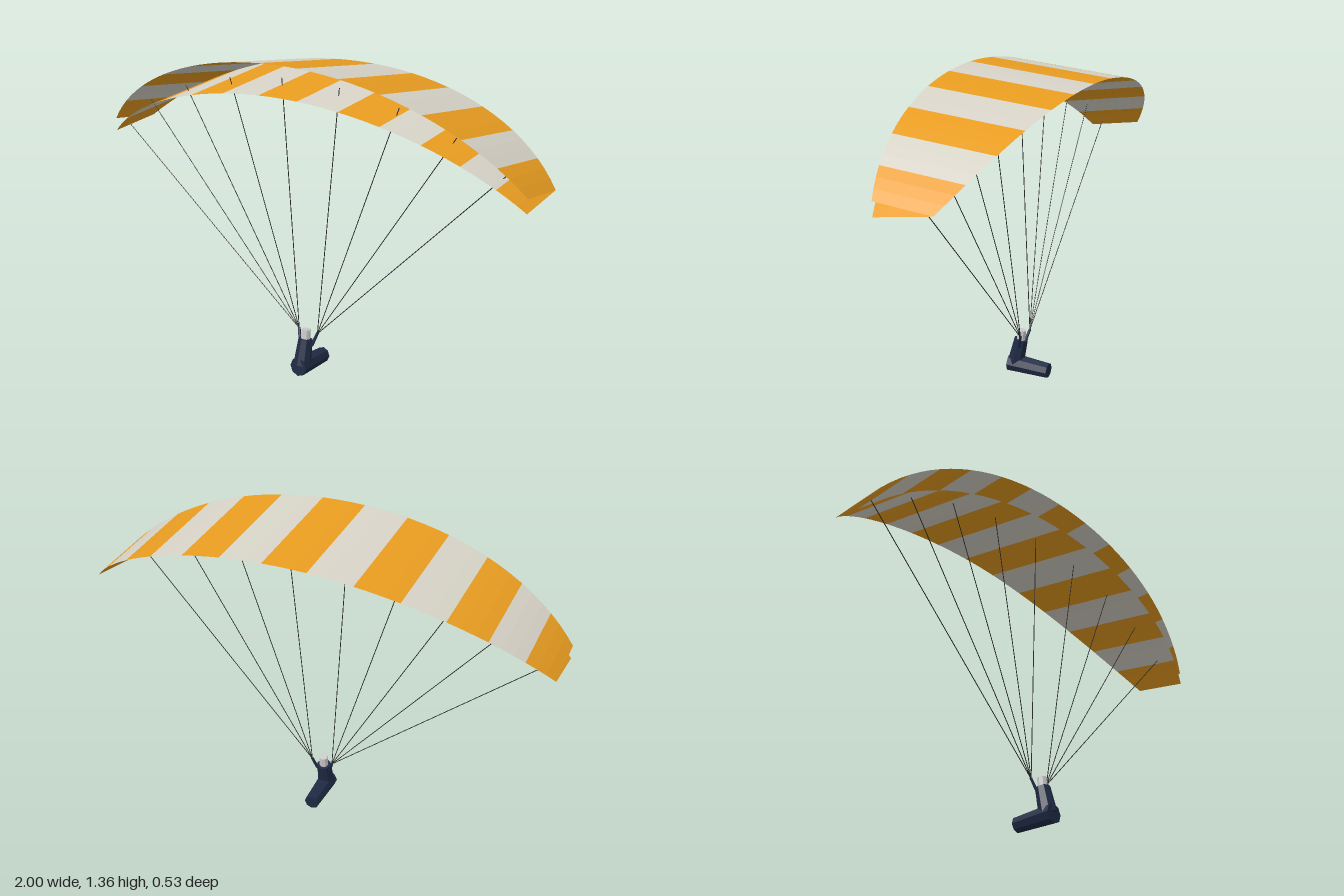
import * as THREE from 'three';

const STRIPES = 13, SEGS = 3, SWEEP = 1.05;

const mat = (color, side = THREE.FrontSide) =>
  new THREE.MeshStandardMaterial({ color, flatShading: true, side });
const orange = mat(0xe89c20, THREE.DoubleSide);
const cream = mat(0xd6d2c6, THREE.DoubleSide);
const navy = mat(0x1f2a44);
const grey = mat(0xcccccc);
const dark = mat(0x2b2b2b);

// Point on the wing: t = -1..1 across the span, c = 0 (trailing) .. 1 (leading),
// h = 1 for the upper skin, -1 for the lower skin
function wingPoint(t, c, h) {
  const a = t * SWEEP;
  const taper = Math.pow(Math.abs(t), 2.3);
  const back = -0.267 + 0.195 * taper;
  const front = 0.267 - 0.105 * taper;
  const halfThickness = 0.0625 * (front - back) / 0.534;
  return new THREE.Vector3(
    Math.sin(a) / Math.sin(SWEEP),
    1.297 - 0.33 * (1 - Math.cos(a)) / (1 - Math.cos(SWEEP)) + h * c * halfThickness,
    back + (front - back) * c
  );
}

// One stripe of one skin, leading edge to trailing edge
function panel(i, h) {
  const pos = [], index = [];
  for (let s = 0; s <= SEGS; s++) {
    const t = -1 + 2 * (i + s / SEGS) / STRIPES;
    pos.push(...wingPoint(t, 1, h).toArray(), ...wingPoint(t, 0, h).toArray());
    if (s === SEGS) break;
    const f0 = 2 * s, b0 = f0 + 1, f1 = f0 + 2, b1 = f0 + 3;
    if (h > 0) index.push(f0, f1, b1, f0, b1, b0);
    else index.push(f0, b1, f1, f0, b0, b1);
  }
  const geo = new THREE.BufferGeometry();
  geo.setAttribute('position', new THREE.Float32BufferAttribute(pos, 3));
  geo.setIndex(index);
  geo.computeVertexNormals();
  return geo;
}

// Cylinder between two points
function rod(name, a, b, ra, rb, sides, material) {
  const dir = b.clone().sub(a);
  const mesh = new THREE.Mesh(new THREE.CylinderGeometry(rb, ra, dir.length(), sides), material);
  mesh.position.copy(a).add(b).multiplyScalar(0.5);
  mesh.quaternion.setFromUnitVectors(new THREE.Vector3(0, 1, 0), dir.normalize());
  mesh.name = name;
  return mesh;
}

export function createModel() {
  const model = new THREE.Group();
  model.name = 'paraglider';
  const V = (x, y, z) => new THREE.Vector3(x, y, z);

  // Striped canopy, open along the leading edge and at the tips
  const canopy = new THREE.Group();
  canopy.name = 'canopy';
  for (let i = 0; i < STRIPES; i++) {
    for (const h of [1, -1]) {
      const mesh = new THREE.Mesh(panel(i, h), i % 2 ? cream : orange);
      mesh.name = h > 0 ? 'upperPanel' : 'lowerPanel';
      canopy.add(mesh);
    }
  }
  model.add(canopy);

  // Suspension lines, ending just inside the lower skin
  const lines = new THREE.Group();
  lines.name = 'suspensionLines';
  for (let i = 0; i < 9; i++) {
    const t = -0.98 + 0.228 * i;
    const top = wingPoint(t, 0.745, -0.3);
    lines.add(rod('line', V(t < 0 ? -0.048 : 0.048, 0.19, 0.073), top, 0.0018, 0.0018, 5, dark));
  }
  model.add(lines);

  // Seated pilot in a harness
  const pilot = new THREE.Group();
  pilot.name = 'pilot';
  pilot.add(
    rod('harnessPod', V(0, 0.049, 0.146), V(0, 0.036, -0.037), 0.041, 0.033, 8, navy),
    rod('torso', V(0, 0.05, 0.118), V(0, 0.162, 0.092), 0.038, 0.031, 8, navy),
    rod('head', V(0, 0.16, 0.093), V(0, 0.204, 0.088), 0.02, 0.02, 8, grey)
  );
  for (const s of [-1, 1]) {
    pilot.add(rod('arm', V(s * 0.03, 0.135, 0.09), V(s * 0.049, 0.194, 0.072), 0.007, 0.006, 6, navy));
  }
  model.add(pilot);

  return model;
}
